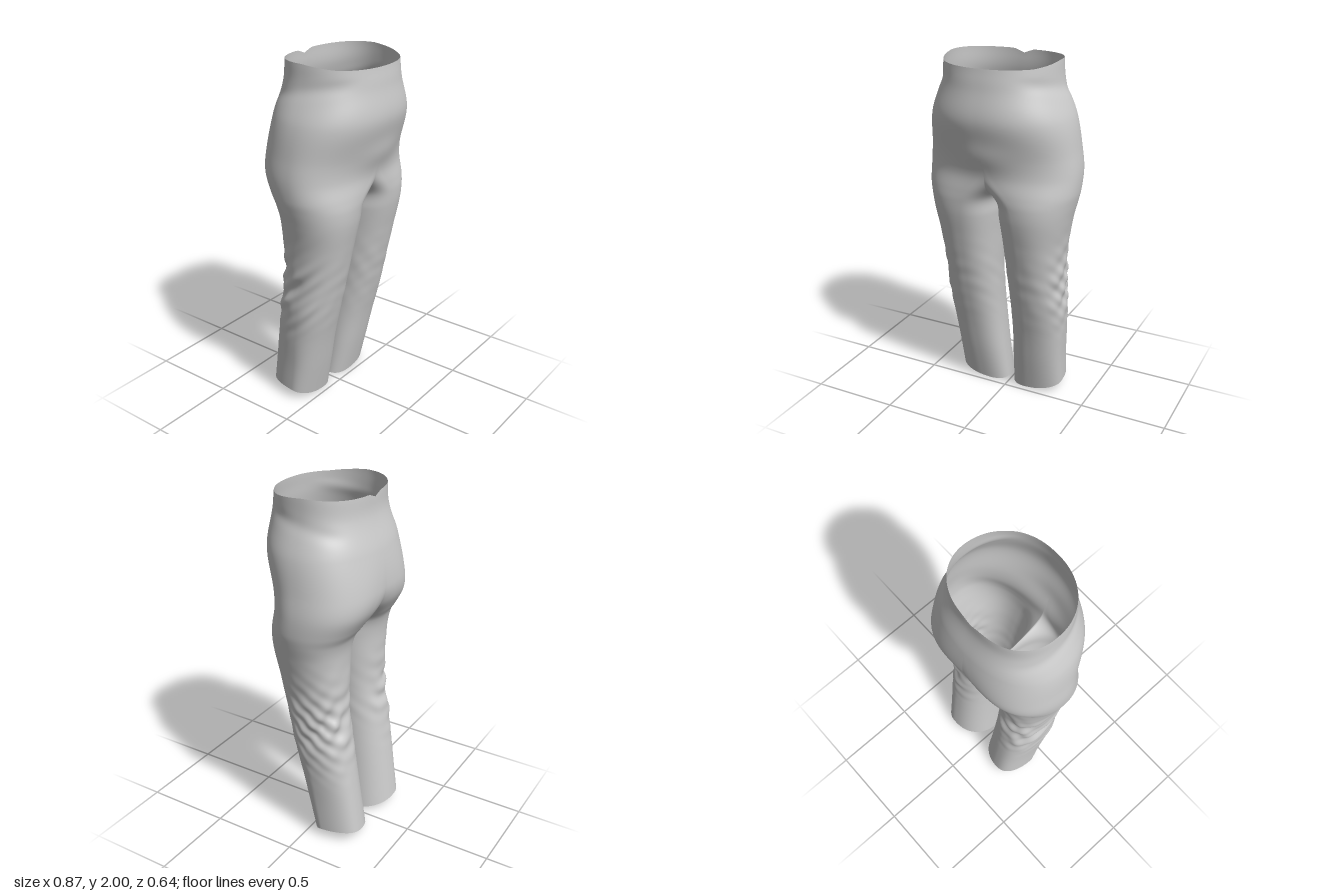
import * as THREE from 'three';
import { mergeVertices } from 'three/addons/utils/BufferGeometryUtils.js';

// Sections of one half, from hem to waist:
// height, outer x, inner x (negative = halves joined), front z, back z,
// z of the side seam, x of the front crest, x of the back crest
const SECTIONS = [
  [0.00, 0.325, 0.020, -0.025, -0.298, -0.11, 0.170, 0.205],
  [0.20, 0.332, 0.030, 0.020, -0.272, -0.085, 0.180, 0.207],
  [0.40, 0.345, 0.038, 0.062, -0.245, -0.065, 0.190, 0.207],
  [0.60, 0.356, 0.040, 0.110, -0.217, -0.035, 0.195, 0.205],
  [0.80, 0.356, 0.033, 0.155, -0.185, -0.01, 0.195, 0.200],
  [1.00, 0.373, 0.020, 0.197, -0.183, 0.00, 0.195, 0.195],
  [1.15, 0.400, 0.008, 0.228, -0.188, 0.01, 0.185, 0.190],
  [1.24, 0.420, 0.000, 0.238, -0.208, 0.00, 0.165, 0.178],
  [1.30, 0.430, -0.050, 0.240, -0.245, 0.00, 0.120, 0.165],
  [1.40, 0.432, -0.200, 0.242, -0.300, -0.01, 0.025, 0.125],
  [1.50, 0.422, -0.350, 0.259, -0.316, -0.01, 0.000, 0.070],
  [1.70, 0.393, -0.390, 0.322, -0.291, 0.00, 0.000, 0.000],
  [1.88, 0.328, -0.330, 0.308, -0.242, 0.00, 0.000, 0.000],
  [2.00, 0.315, -0.315, 0.298, -0.235, 0.00, 0.000, 0.000],
];

// Smooth interpolation of the sections at height y
function sectionAt(y) {
  const n = SECTIONS.length;
  let k = 0;
  while (k < n - 2 && y > SECTIONS[k + 1][0]) k++;
  const p0 = SECTIONS[Math.max(k - 1, 0)], p1 = SECTIONS[k];
  const p2 = SECTIONS[k + 1], p3 = SECTIONS[Math.min(k + 2, n - 1)];
  const h = p2[0] - p1[0], t = (y - p1[0]) / h;
  return p1.map((v, c) => {
    const m1 = (p2[c] - p0[c]) / (p2[0] - p0[0]) * h;
    const m2 = (p3[c] - p1[c]) / (p3[0] - p1[0]) * h;
    return v * (1 + 2 * t) * (1 - t) ** 2 + m1 * t * (1 - t) ** 2
      + p2[c] * t * t * (3 - 2 * t) + m2 * t * t * (t - 1);
  });
}

const bell = (v, centre, width) => Math.exp(-(((v - centre) / width) ** 2));

// Creased cloth behind and beside the knee, and a small tuck at the hip
function wrinkle(side, y, s, c) {
  const knee = bell(y, 0.74, 0.2) * (0.1 + 0.9 * Math.max(0, s * 0.75 - c * 0.6));
  const folds = Math.sin(y * 41 + s * 4 + c * 7 * side)
    + 0.7 * Math.sin(y * 63 - c * 11 + side) + 0.6 * Math.sin(y * 24 + s * 10 - side * 2);
  const tuck = bell(y - 0.06 * c, 1.86, 0.035) * bell(s, 0.9, 0.25);
  return 0.007 * knee * folds - 0.005 * tuck;
}

const INNER = 16, OUTER = 56, ROWS = 170;

// The inner front and outer back of each section are squarer
const roundness = (front, inner) => (front === inner ? 0.8 : 0.9);

// One section of one half, running front centre -> side -> back centre
function ring(y, side) {
  const [, xo, xi, zf, zb, zm, cf, cb] = sectionAt(y);
  const points = [];
  const add = (angle, inner) => {
    const front = angle <= Math.PI / 2;
    const cx = Math.max(0, front ? cf : cb);
    const s = Math.max(0, Math.sin(angle)), c = Math.cos(angle);
    const reach = Math.pow(s, roundness(front, inner));
    let x = inner ? cx - (cx - xi) * reach : cx + (xo - cx) * reach;
    let z = zm + (front ? zf - zm : zm - zb) * Math.sign(c) * Math.pow(Math.abs(c), 0.93);
    const out = inner ? -s : s;
    const w = wrinkle(side, y, out, c);
    if (x > 1e-4) {
      x = Math.max(0.0005, x + w * out);
      z += w * c;
    } else x = 0;
    // Lower belly, narrowing towards the crotch
    if (front) z += 0.018 * bell(y, 1.51, 0.08) * bell(x, 0, 0.17);
    // Slanted hem
    let py = y + Math.max(0, 1 - y / 0.5) * (0.03 + 0.025 * out - 0.02 * c);
    // Waist rim: high at the sides, low in front, with a notch at the back
    const rim = THREE.MathUtils.smoothstep(y, 1.9, 2);
    py -= rim * (c > 0 ? 0.02 * Math.min(1, c * 1.6) : 0.01 * c * c + 0.022 * bell(x, 0, 0.035));
    points.push([x * side, py, z]);
  };
  // Angle at which the inner arc reaches the middle plane
  const stop = (crest, front) => {
    if (xi >= 0) return Math.PI / 2;
    const cx = Math.max(0, crest);
    return Math.asin(Math.pow(cx / (cx - xi), 1 / roundness(front, true)));
  };
  const af = stop(cf, true), ab = stop(cb, false);
  for (let i = 0; i < INNER; i++) add(af * (1 - i / INNER), true);
  for (let i = 0; i <= OUTER; i++) add(Math.PI * i / OUTER, false);
  for (let i = 1; i <= INNER; i++) add(Math.PI - ab * i / INNER, true);
  // Ends lie on the middle plane where joined, or meet each other in the leg
  const first = points[0], last = points[points.length - 1];
  if (xi < 0) first[0] = last[0] = 0;
  else points[points.length - 1] = first.slice();
  return points;
}

export function createModel() {
  const positions = [], indices = [];
  const width = INNER * 2 + OUTER + 1;
  for (const side of [1, -1]) {
    const base = positions.length / 3;
    for (let j = 0; j <= ROWS; j++) {
      for (const p of ring(2 * j / ROWS, side)) positions.push(...p);
    }
    for (let j = 0; j < ROWS; j++) {
      for (let i = 0; i < width - 1; i++) {
        const a = base + j * width + i, b = a + 1, c = a + width, d = c + 1;
        if (side > 0) indices.push(a, b, c, b, d, c);
        else indices.push(a, c, b, b, c, d);
      }
    }
  }
  // Weld both halves along the middle seam and each leg along its inseam
  let geometry = new THREE.BufferGeometry();
  geometry.setAttribute('position', new THREE.Float32BufferAttribute(positions, 3));
  geometry.setIndex(indices);
  geometry = mergeVertices(geometry, 1e-4);
  geometry.computeVertexNormals();

  const trousers = new THREE.Mesh(geometry,
    new THREE.MeshStandardMaterial({ color: 0xcccccc, side: THREE.DoubleSide }));
  trousers.name = 'trousers';
  const group = new THREE.Group();
  group.name = 'trousersModel';
  group.add(trousers);
  return group;
}
